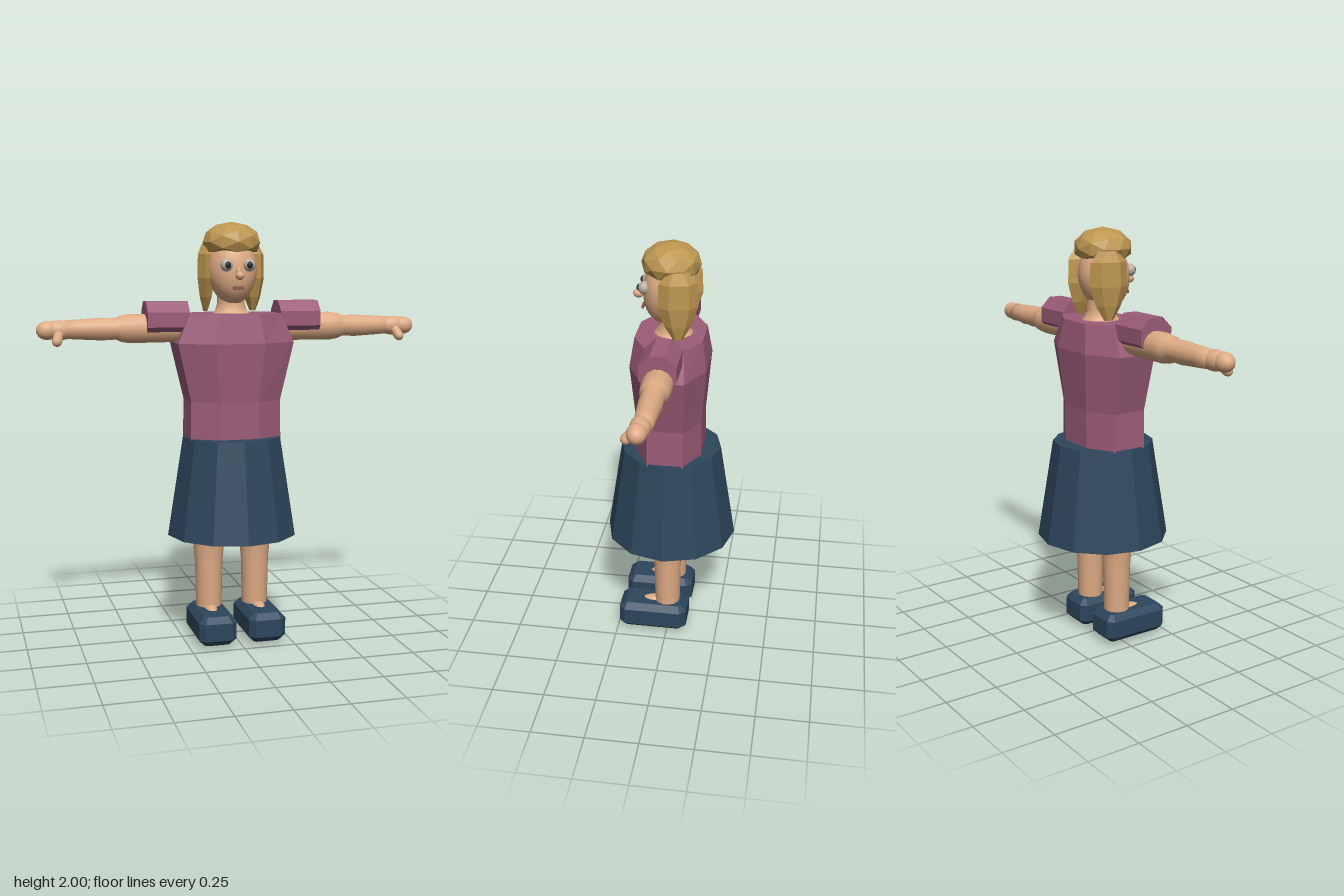
import * as THREE from 'three';

const mat = (name, color, flatShading = false) => {
  const m = new THREE.MeshStandardMaterial({ color, flatShading });
  m.name = name;
  return m;
};

export function createModel() {
  const skin = mat('skin', 0xdeab84);
  const shirt = mat('shirt plum', 0x9c5c78, true);
  const navy = mat('navy cloth', 0x2d465c, true);
  const blond = mat('blond hair', 0xbd9650, true);
  const eyeWhite = mat('eye grey', 0xb9aea2);
  const dark = mat('pupil dark', 0x22282e);
  const lip = mat('lips', 0x8a5a50);

  const model = new THREE.Group();
  model.name = 'woman';

  const add = (name, geometry, material, x = 0, y = 0, z = 0) => {
    const mesh = new THREE.Mesh(geometry, material);
    mesh.name = name;
    mesh.position.set(x, y, z);
    model.add(mesh);
    return mesh;
  };
  const ball = (rx, ry, rz, w = 20, h = 14) => new THREE.SphereGeometry(1, w, h).scale(rx, ry, rz);
  const lathe = (pts, sides) =>
    new THREE.LatheGeometry(pts.map(([r, y]) => new THREE.Vector2(r, y)), sides);

  // Closed skin over stacked rings of {x, y, z, rx, rz}, each shaped by a unit outline
  const loft = (outline, rings) => {
    const n = outline.length, pos = [], idx = [];
    for (const r of rings)
      for (const [u, v] of outline) pos.push(r.x + u * r.rx, r.y, r.z + v * r.rz);
    const last = rings.length - 1;
    for (const r of [rings[0], rings[last]]) pos.push(r.x, r.y, r.z);
    const bottom = n * rings.length;
    for (let i = 0; i < n; i++) {
      const j = (i + 1) % n;
      for (let k = 0; k < last; k++) {
        const a = k * n, b = a + n;
        idx.push(a + j, a + i, b + i, a + j, b + i, b + j);
      }
      idx.push(bottom, i, j, bottom + 1, last * n + j, last * n + i);
    }
    const g = new THREE.BufferGeometry();
    g.setAttribute('position', new THREE.Float32BufferAttribute(pos, 3));
    g.setIndex(idx);
    g.computeVertexNormals();
    return g;
  };

  // Shirt body
  const octagon = [[1, -0.55], [1, 0.55], [0.42, 1], [-0.42, 1], [-1, 0.55], [-1, -0.55], [-0.42, -1], [0.42, -1]];
  add('shirtBody', loft(octagon, [[0.98, 0.22, 0.155], [1.165, 0.217, 0.155], [1.44, 0.28, 0.177], [1.575, 0.22, 0.156]]
    .map(([y, rx, rz]) => ({ x: 0, y, z: 0, rx, rz }))), shirt);

  // Skirt
  add('skirt', new THREE.CylinderGeometry(0.24, 0.316, 0.475, 12), navy, 0, 0.7525, 0);

  // Neck and head, the head narrowing towards the chin
  add('neck', lathe([[0.1, 1.565], [0.078, 1.585], [0.066, 1.62], [0.066, 1.7]], 16), skin, 0, 0, -0.01);
  const headGeo = ball(0.118, 0.16, 0.122, 20, 16);
  const p = headGeo.attributes.position;
  for (let i = 0; i < p.count; i++) {
    const t = Math.max(0, -p.getY(i) / 0.16);
    p.setX(i, p.getX(i) * (1 - 0.1 * t));
    p.setZ(i, p.getZ(i) + 0.015 * t);
  }
  headGeo.computeVertexNormals();
  add('head', headGeo, skin, 0, 1.775, 0.005);

  // Face
  for (const s of [1, -1]) {
    add('eye', ball(0.03, 0.03, 0.028, 14, 10), eyeWhite, s * 0.054, 1.8, 0.115);
    add('pupil', ball(0.014, 0.016, 0.012, 10, 8), dark, s * 0.052, 1.8, 0.138);
  }
  add('noseBridge', ball(0.014, 0.026, 0.02, 10, 8), skin, 0, 1.768, 0.13);
  add('nose', ball(0.021, 0.02, 0.026, 12, 8), skin, 0, 1.752, 0.15);
  add('mouth', new THREE.BoxGeometry(0.05, 0.016, 0.009), lip, 0, 1.695, 0.129);

  // Hair crown, flattened underneath
  const crown = new THREE.IcosahedronGeometry(1, 1);
  const c = crown.attributes.position;
  for (let i = 0; i < c.count; i++) {
    const y = c.getY(i);
    c.setXYZ(i, c.getX(i) * 0.14, Math.max(y * 0.095, -0.045), c.getZ(i) * 0.136);
  }
  add('hairCrown', crown, blond, 0, 1.905, 0);

  // Hair locks at the sides, turned in towards the nape
  const hexagon = [0, 1, 2, 3, 4, 5].map(i => [Math.cos(i * Math.PI / 3 + Math.PI / 6), Math.sin(i * Math.PI / 3 + Math.PI / 6)]);
  for (const s of [1, -1]) {
    const lock = loft(hexagon, [[1.585, 0.012, 0.022, 0.004], [1.65, 0.032, 0.06, 0.002], [1.74, 0.046, 0.092, 0],
      [1.85, 0.044, 0.086, 0], [1.9, 0.022, 0.045, 0]]
      .map(([y, rx, rz, dx]) => ({ x: s * dx, y, z: 0, rx, rz })));
    add('hairLock', lock, blond, s * 0.112, 0, -0.045).rotation.y = s * 0.25;
  }

  for (const s of [1, -1]) {
    // Sleeve
    const sleeve = new THREE.CylinderGeometry(0.09, 0.09, 0.198, 8).rotateY(Math.PI / 8).rotateZ(Math.PI / 2);
    add('sleeve', sleeve, shirt, s * 0.319, 1.55, 0);

    // Arm
    const arm = lathe([[0.0, 0.18], [0.066, 0.2], [0.068, 0.49], [0.062, 0.53], [0.05, 0.555], [0.053, 0.62],
      [0.046, 0.74], [0.042, 0.8], [0, 0.83]], 14);
    add('arm', arm, skin, 0, 1.508, -0.003).rotation.z = -s * Math.PI / 2;

    // Hand with thumb
    add('palm', ball(0.075, 0.046, 0.044), skin, s * 0.815, 1.506, 0.005);
    add('fingers', ball(0.05, 0.043, 0.042), skin, s * 0.87, 1.506, 0.01);
    const thumb = new THREE.CapsuleGeometry(0.023, 0.05, 4, 10);
    add('thumb', thumb, skin, s * 0.825, 1.475, 0.045).rotation.set(-0.75, 0, s * 0.25);

    // Leg
    add('leg', lathe([[0.058, 0.08], [0.063, 0.18], [0.067, 0.38], [0.074, 0.45], [0.08, 0.52], [0.08, 0.6], [0, 0.62]], 14),
      skin, s * 0.116, 0, 0.003);
    add('foot', ball(0.052, 0.085, 0.12), skin, s * 0.12, 0.085, 0.055);

    // Shoe with chamfered edges
    const b = 0.028, w = 0.091 - b, l = 0.169 - b, k = 0.012;
    const sole = new THREE.Shape([[w, l - k], [w - k, l], [k - w, l], [-w, l - k], [-w, k - l], [k - w, -l], [w - k, -l], [w, k - l]]
      .map(([x, y]) => new THREE.Vector2(x, y)));
    const shoe = new THREE.ExtrudeGeometry(sole, {
      depth: 0.14 - 2 * b, bevelEnabled: true, bevelSegments: 1, bevelSize: b, bevelThickness: b, curveSegments: 1,
    }).rotateX(-Math.PI / 2);
    add('shoe', shoe, navy, s * 0.121, 0.015 + b, 0.07);
  }
  return model;
}
